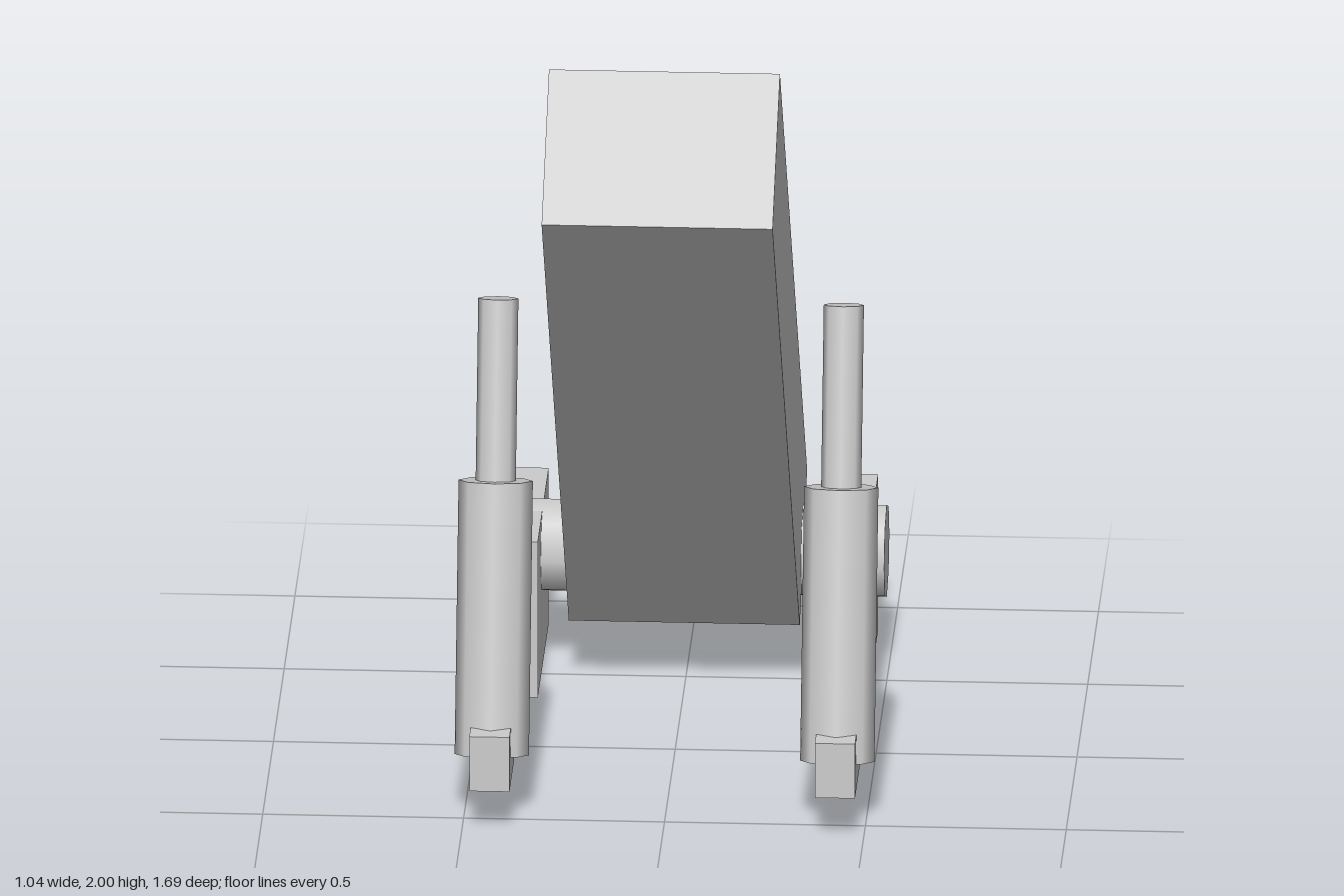
import * as THREE from 'three';

export function createModel() {
  const model = new THREE.Group();
  const grey = new THREE.MeshStandardMaterial({ color: 0xcccccc });
  grey.name = 'light grey';

  const add = (parent, name, geometry, x, y, z) => {
    const mesh = new THREE.Mesh(geometry, grey);
    mesh.name = name;
    mesh.position.set(x, y, z);
    parent.add(mesh);
    return mesh;
  };
  const box = (w, h, d) => new THREE.BoxGeometry(w, h, d);
  const rod = (r, length) => new THREE.CylinderGeometry(r, r, length, 8);

  // Long tilted beam with a raised panel on its back
  const beam = new THREE.Group();
  beam.name = 'beam';
  beam.position.set(0, 1.0875, 0.04);
  beam.rotation.x = 0.686;
  add(beam, 'beamBody', box(0.575, 1.997, 0.444), 0, 0, 0);
  add(beam, 'backPanel', box(0.41, 1.198, 0.07), 0, -0.109, -0.221);
  model.add(beam);

  // Hinge axle through the foot of the beam
  add(model, 'hingeAxle', rod(0.122, 0.99), 0, 0.31, -0.59).rotation.z = Math.PI / 2;

  for (const side of [1, -1]) {
    const label = side > 0 ? 'left' : 'right';
    add(model, label + 'HingeBracket', box(0.1, 0.415, 0.51), side * 0.41, 0.2075, -0.59);
    add(model, label + 'PistonFoot', box(0.1, 0.145, 0.22), side * 0.43, 0.1875, 0.5);

    // Piston leaning back towards the beam, measured from its lower end
    const piston = new THREE.Group();
    piston.name = label + 'Piston';
    piston.position.set(side * 0.43, 0.17, 0.4975);
    piston.rotation.x = -0.271;
    add(piston, 'pistonSleeve', rod(0.0925, 0.685), 0, 0.3425, 0);
    add(piston, 'pistonRod', rod(0.05, 0.74), 0, 0.77, 0);
    model.add(piston);
  }
  return model;
}
